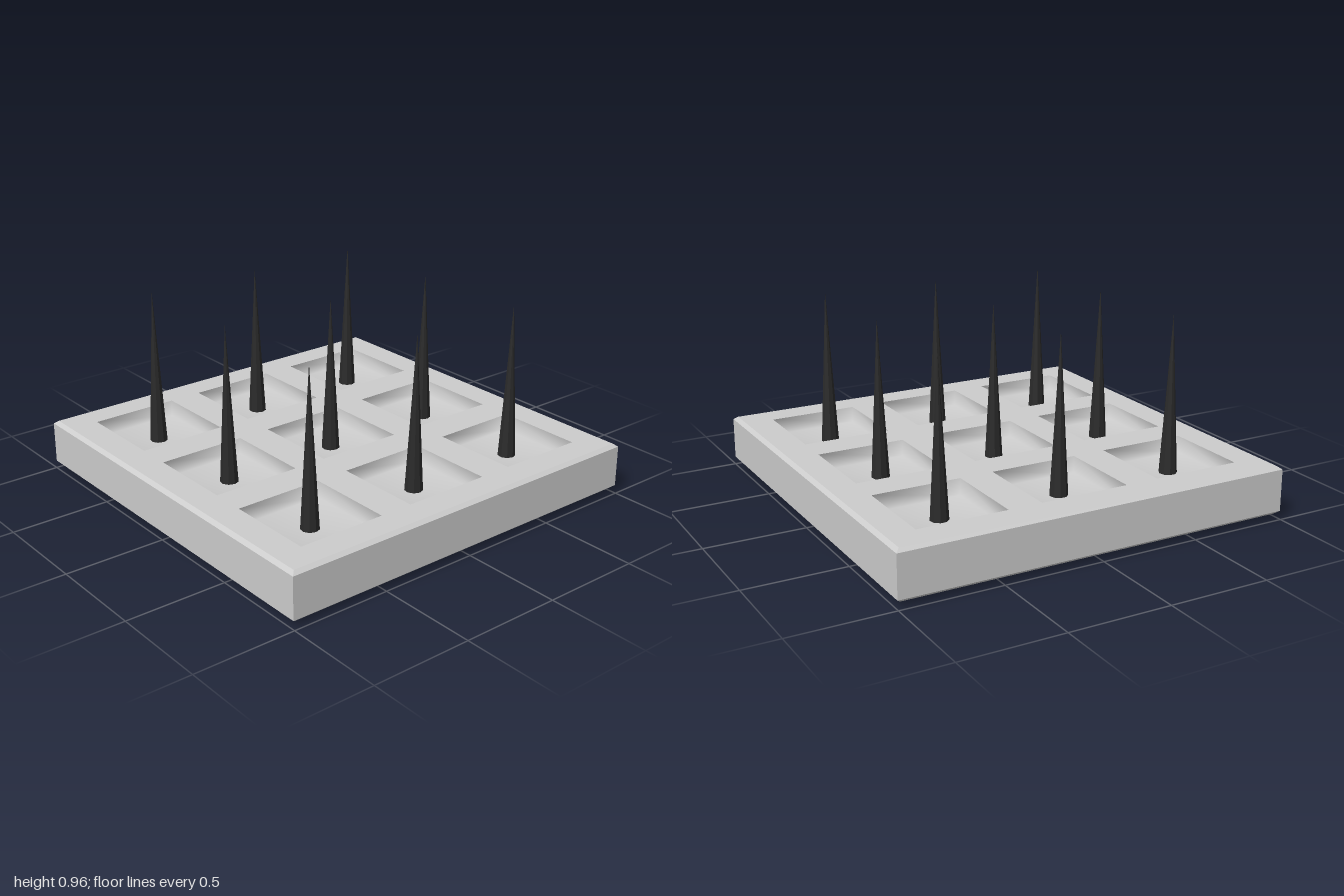
import * as THREE from 'three';

const TOP = 0.265, DEPTH = 0.08, HALF = 0.223, PITCH = 0.615;

export function createModel() {
  const model = new THREE.Group();
  const grey = new THREE.MeshStandardMaterial({ color: 0xcccccc });
  const dark = new THREE.MeshStandardMaterial({ color: 0x2a2a2a, flatShading: true });

  const add = (name, geometry, material, x = 0, y = 0, z = 0) => {
    const mesh = new THREE.Mesh(geometry, material);
    mesh.name = name;
    mesh.position.set(x, y, z);
    model.add(mesh);
  };

  // four-sided lathe; profile points are [half width, height]
  const squareLathe = (profile) => new THREE.LatheGeometry(
    profile.map(([w, y]) => new THREE.Vector2(w * Math.SQRT2, y)), 4, Math.PI / 4);

  const square = (PathType, cx, cy, hx, hy) => new PathType([
    [-hx, -hy], [hx, -hy], [hx, hy], [-hx, hy],
  ].map(([x, y]) => new THREE.Vector2(cx + x, cy + y)));

  // slab underside, sides and narrow bevels
  const slab = squareLathe([[0, 0.025], [0.98, 0.025], [1, 0.042], [1, 0.25], [0.98, TOP]]).toNonIndexed();
  slab.computeVertexNormals();
  slab.scale(1, 1, 0.993);
  add('slab', slab, grey);

  // top surface with nine square openings
  const top = square(THREE.Shape, 0, 0, 0.98, 0.98 * 0.993);
  const pocket = squareLathe([[HALF, 0], [HALF - 0.006, -DEPTH], [0, -DEPTH]]);
  const spike = new THREE.ConeGeometry(0.055, 0.965, 9);
  spike.translate(0, 0.965 / 2, 0);

  // pockets softly shaded into their floors, each pierced by a spike
  for (const i of [-1, 0, 1]) {
    for (const j of [-1, 0, 1]) {
      const x = i * PITCH, z = j * PITCH;
      top.holes.push(square(THREE.Path, x, -z, HALF, HALF));
      add('pocket', pocket, grey, x, TOP, z);
      add('spike', spike, dark, x, 0, z);
    }
  }
  const topGeometry = new THREE.ShapeGeometry(top);
  topGeometry.rotateX(-Math.PI / 2);
  add('slabTop', topGeometry, grey, 0, TOP, 0);

  return model;
}
